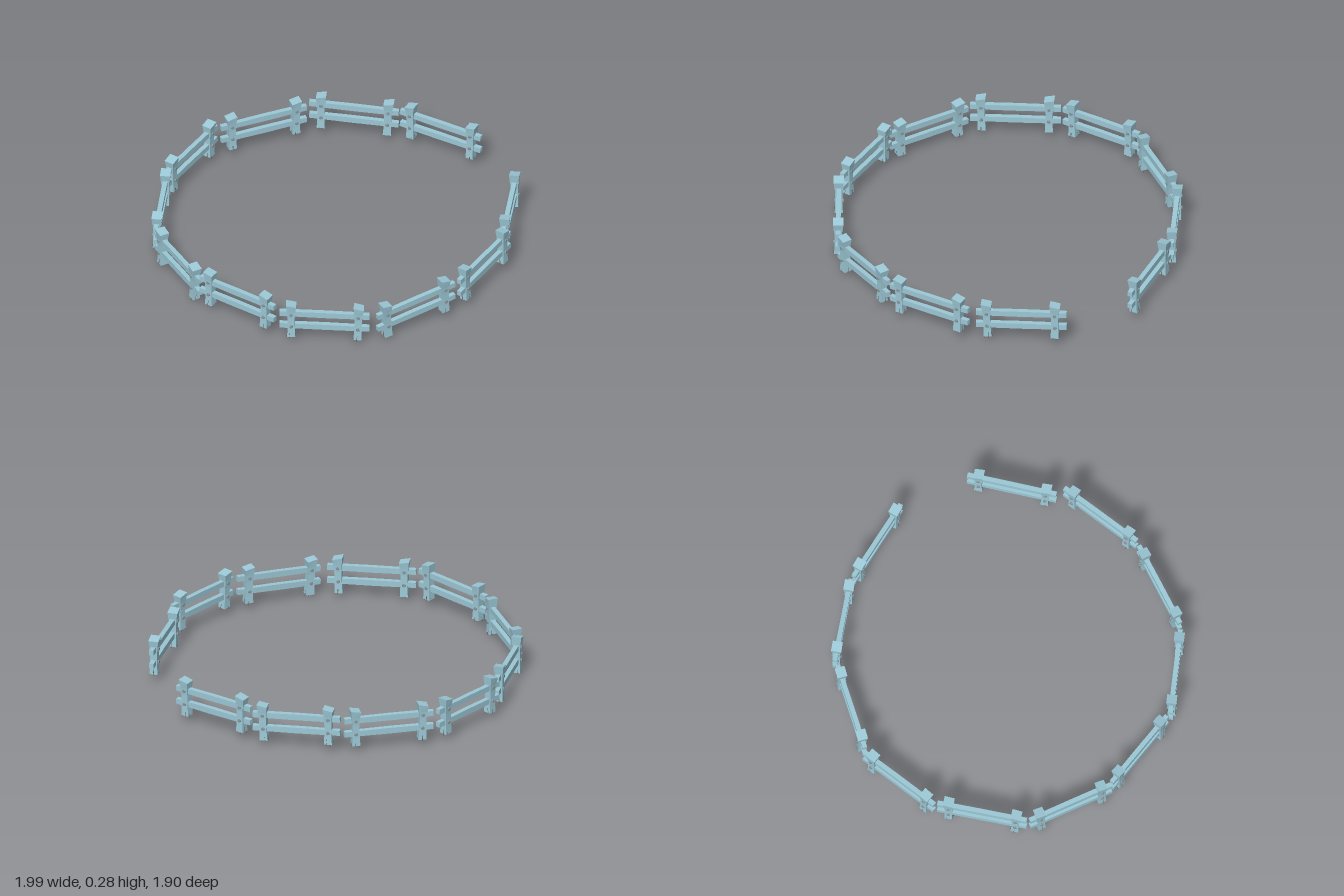
import * as THREE from 'three';

const wood = new THREE.MeshStandardMaterial({ color: 0x9cc8d6, flatShading: true });
const boltMat = new THREE.MeshStandardMaterial({ color: 0x87959a, flatShading: true });
const splinterMat = new THREE.MeshStandardMaterial({ color: 0x6e6259, flatShading: true });

const POST_H = 0.21;
const RAIL_Y = [0.085, 0.165];

// Each panel: [x, z, base height] of its two posts
const panels = [
  [[-0.125, -0.925, 0.05], [0.235, -0.902, 0.03]],
  [[0.37, -0.858, 0.045], [0.70, -0.706, 0.035]],
  [[0.96, -0.275, 0.045], [0.925, 0.09, 0.03]],
  [[0.917, 0.25, 0.055], [0.732, 0.565, 0.04]],
  [[0.62, 0.67, 0.03], [0.32, 0.872, 0.005]],
  [[0.16, 0.916, 0.01], [-0.20, 0.918, 0.02]],
  [[-0.345, 0.868, 0.04], [-0.65, 0.682, 0.04]],
  [[-0.742, 0.592, 0.01], [-0.93, 0.285, 0.005]],
  [[-0.966, 0.15, 0.02], [-0.938, -0.215, 0.03]],
  [[-0.907, -0.35, 0.025], [-0.722, -0.655, 0.035]],
  [[-0.602, -0.735, 0.03], [-0.265, -0.885, 0.035]],
];

// Square post, slim in the middle, flared at head and foot
function postGeometry() {
  const g = new THREE.BoxGeometry(1, 1, 1, 1, 5, 1);
  const widths = [0.045, 0.041, 0.039, 0.04, 0.046, 0.056];
  const p = g.attributes.position;
  for (let i = 0; i < p.count; i++) {
    const t = p.getY(i) + 0.5;
    const w = widths[Math.round(t * 5)];
    const slope = t > 0.99 ? p.getX(i) * 0.012 : 0;
    p.setXYZ(i, p.getX(i) * w, 0.015 + t * POST_H + slope, p.getZ(i) * w);
  }
  g.computeVertexNormals();
  return g;
}

// Rail bar along x, slightly thicker in the middle
function railGeometry(length) {
  const g = new THREE.BoxGeometry(length, 0.033, 0.026, 4, 1, 1);
  const p = g.attributes.position;
  for (let i = 0; i < p.count; i++) {
    const s = 1.04 - 0.12 * Math.abs(p.getX(i) / length * 2);
    p.setY(i, p.getY(i) * s);
  }
  g.computeVertexNormals();
  return g;
}

const postGeo = postGeometry();
const boltGeo = new THREE.CylinderGeometry(0.009, 0.011, 0.008, 6).rotateX(Math.PI / 2);
const splinterGeo = new THREE.ConeGeometry(0.006, 0.04, 3).rotateX(Math.PI);

function add(parent, name, geo, mat, x = 0, y = 0, z = 0) {
  const m = new THREE.Mesh(geo, mat);
  m.name = name;
  m.position.set(x, y, z);
  parent.add(m);
  return m;
}

function makePost(lean) {
  const post = new THREE.Group();
  post.name = 'post';
  add(post, 'postBody', postGeo, wood);
  // bolts on both faces at each rail
  for (const y of RAIL_Y)
    for (const s of [-1, 1]) {
      const b = add(post, 'bolt', boltGeo, boltMat, 0, y, s * 0.0235);
      if (s < 0) b.rotation.y = Math.PI;
    }
  // pointed splinters around the foot
  for (let i = 0; i < 6; i++) {
    const a = i * Math.PI / 3 + lean * 20;
    const r = 0.022;
    const sp = add(post, 'footSplinter', splinterGeo, splinterMat,
      Math.cos(a) * r, 0.02 + 0.006 * (i % 2), Math.sin(a) * r);
    sp.rotation.set(-Math.sin(a) * 0.25, 0, Math.cos(a) * 0.25);
  }
  post.rotation.z = lean;
  return post;
}

function makePanel([a, b], index) {
  const panel = new THREE.Group();
  panel.name = 'fencePanel' + (index + 1);
  const dx = b[0] - a[0], dz = b[1] - a[1], dy = b[2] - a[2];
  const span = Math.hypot(dx, dz);
  panel.position.set((a[0] + b[0]) / 2, (a[2] + b[2]) / 2, (a[1] + b[1]) / 2);
  panel.rotation.y = -Math.atan2(dz, dx);
  const tilt = Math.atan2(dy, span);

  // two posts leaning very slightly apart
  for (const s of [-1, 1]) {
    const post = makePost(tilt * 0.5 - s * 0.02);
    post.position.set(s * span / 2, s * dy / 2, 0);
    panel.add(post);
  }
  // two rails following the slope between the posts
  RAIL_Y.forEach((y, i) => {
    const rail = add(panel, i ? 'upperRail' : 'lowerRail', railGeometry(span + 0.13), wood, 0, y, 0);
    rail.rotation.z = tilt;
  });
  return panel;
}

export function createModel() {
  const fence = new THREE.Group();
  fence.name = 'ringFence';
  panels.forEach((p, i) => fence.add(makePanel(p, i)));
  return fence;
}
